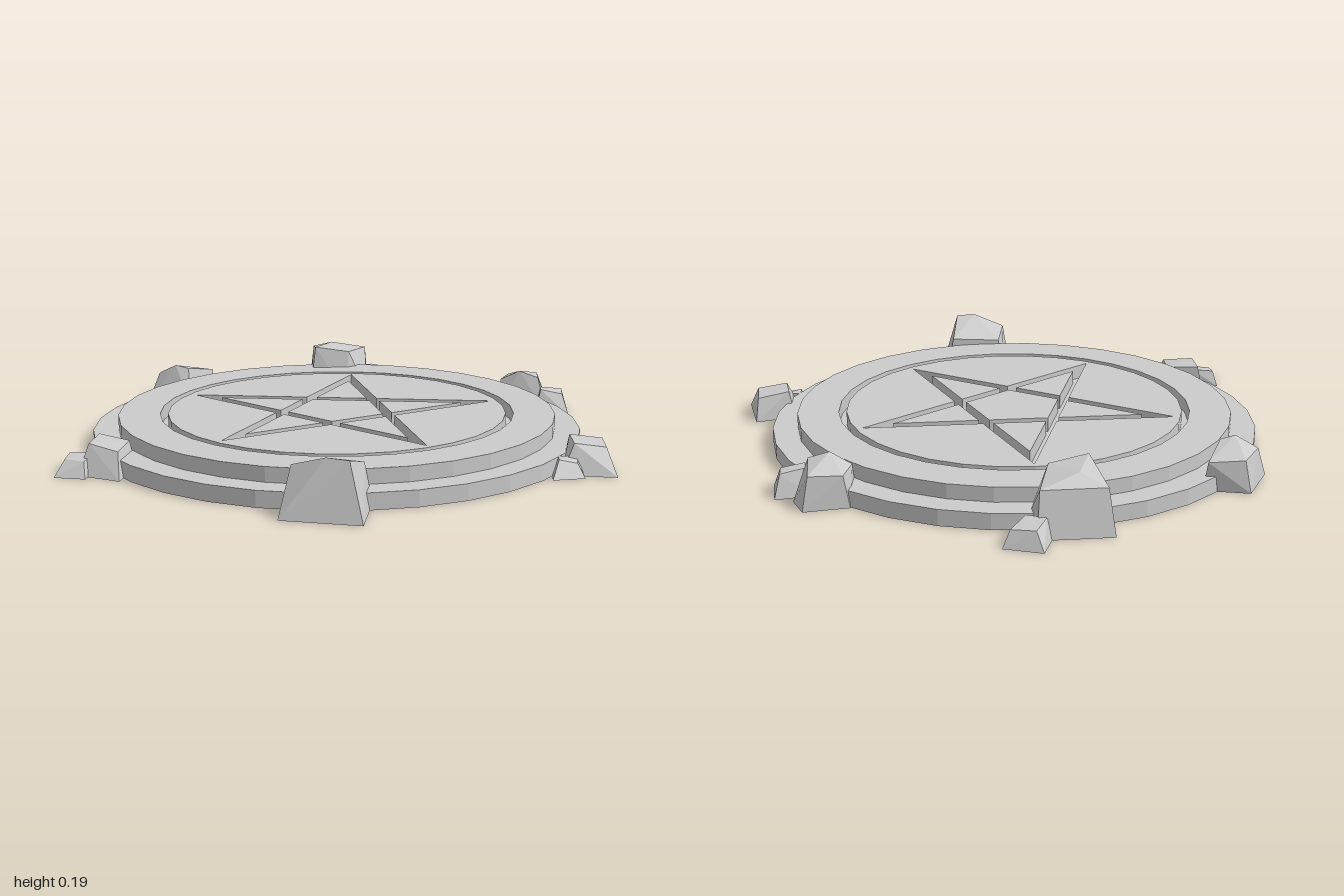
import * as THREE from 'three';
import { ConvexGeometry } from 'three/addons/geometries/ConvexGeometry.js';

const STEP = 0.055, TOP = 0.105;
const CX = -0.047, CZ = 0.016;
const material = new THREE.MeshStandardMaterial({ color: 0xcccccc, flatShading: true });

function add(parent, name, geometry) {
  const mesh = new THREE.Mesh(geometry, material);
  mesh.name = name;
  parent.add(mesh);
  return mesh;
}

// Points around the origin, first one at the top; radii alternate through the list
function ringPoints(count, radii, turn = 0) {
  return Array.from({ length: count }, (_, i) => {
    const a = Math.PI / 2 + turn + (i / count) * Math.PI * 2;
    const r = radii[i % radii.length];
    return new THREE.Vector2(Math.cos(a) * r, Math.sin(a) * r);
  });
}

// Flat slab lying between the step and the top of the dais
function slab(outline, hole) {
  const shape = new THREE.Shape(outline);
  if (hole) shape.holes.push(new THREE.Path(hole));
  const geometry = new THREE.ExtrudeGeometry(shape, { depth: TOP - STEP, bevelEnabled: false });
  return geometry.rotateX(-Math.PI / 2).translate(0, STEP, 0);
}

// Faceted boulder: ground corners [x, z] and upper corners [x, y, z]
function rock(parent, name, base, tops) {
  const points = [
    ...base.map(([x, z]) => new THREE.Vector3(x, 0, z)),
    ...tops.map(([x, y, z]) => new THREE.Vector3(x, y, z)),
  ];
  add(parent, name, new ConvexGeometry(points));
}

export function createModel() {
  const model = new THREE.Group();
  model.name = 'stoneDais';

  const dais = new THREE.Group();
  dais.name = 'dais';
  dais.position.set(CX, 0, CZ);
  model.add(dais);

  // Lower step, whose top is also the floor of the grooves
  add(dais, 'lowerStep', new THREE.CylinderGeometry(0.848, 0.848, STEP, 32).translate(0, STEP / 2, 0));

  // Upper step: rim, circular groove, panel with a star cut out
  add(dais, 'upperRim', slab(ringPoints(32, [0.761]), ringPoints(32, [0.617])));
  const starOuter = 0.566, starInner = 0.455;
  const c72 = Math.cos(Math.PI * 0.4), c36 = Math.cos(Math.PI / 5);
  add(dais, 'starPanel', slab(ringPoints(32, [0.59]), ringPoints(10, [starOuter, starOuter * c72 / c36])));

  // Islands left standing between the star grooves
  add(dais, 'starCentre', slab(ringPoints(5, [starInner * c72 / c36], Math.PI)));
  const inset = starOuter * c72;
  const half = (starInner - inset) * Math.tan(Math.PI / 10);
  for (let i = 0; i < 5; i++) {
    const tip = [[0, starInner], [-half, inset], [half, inset]].map(([x, y]) => new THREE.Vector2(x, y));
    add(dais, 'starPoint', slab(tip)).rotation.y = (i * Math.PI * 2) / 5;
  }

  // Boulders around the edge
  const rocks = new THREE.Group();
  rocks.name = 'rocks';
  model.add(rocks);

  rock(rocks, 'frontRock',
    [[-0.13, 0.965], [0.125, 0.995], [0.135, 0.77], [-0.09, 0.77]],
    [[0.08, 0.18, 0.94], [0.01, 0.185, 0.93], [-0.1, 0.148, 0.88], [0.11, 0.13, 0.77], [-0.07, 0.12, 0.77]]);
  rock(rocks, 'backRock',
    [[-0.25, -0.91], [-0.01, -0.91], [0.0, -0.74], [-0.08, -0.67], [-0.22, -0.66]],
    [[-0.2, 0.185, -0.68], [-0.07, 0.165, -0.7], [-0.02, 0.15, -0.88], [-0.23, 0.15, -0.88], [-0.15, 0.18, -0.82]]);
  rock(rocks, 'backSmallRock',
    [[-0.02, -1.0], [0.1, -0.955], [0.02, -0.84], [-0.07, -0.87]],
    [[0.0, 0.06, -0.97], [0.075, 0.055, -0.94], [0.02, 0.07, -0.87], [-0.04, 0.07, -0.9]]);
  rock(rocks, 'backRightRock',
    [[-0.74, -0.62], [-0.59, -0.58], [-0.66, -0.42], [-0.83, -0.46]],
    [[-0.72, 0.11, -0.61], [-0.6, 0.105, -0.6], [-0.67, 0.135, -0.47], [-0.72, 0.147, -0.47], [-0.79, 0.11, -0.5]]);
  rock(rocks, 'backLeftRock',
    [[0.54, -0.6], [0.69, -0.62], [0.72, -0.53], [0.7, -0.43], [0.52, -0.46]],
    [[0.56, 0.11, -0.6], [0.67, 0.115, -0.61], [0.67, 0.125, -0.47], [0.6, 0.147, -0.48], [0.53, 0.11, -0.5]]);
  rock(rocks, 'backLeftSmallRock',
    [[0.66, -0.49], [0.78, -0.51], [0.785, -0.38], [0.66, -0.39]],
    [[0.68, 0.09, -0.47], [0.76, 0.08, -0.49], [0.76, 0.075, -0.42], [0.68, 0.09, -0.42]]);
  rock(rocks, 'leftRock',
    [[0.73, 0.27], [0.87, 0.23], [0.9, 0.43], [0.72, 0.42]],
    [[0.75, 0.1, 0.27], [0.86, 0.085, 0.25], [0.865, 0.085, 0.37], [0.76, 0.098, 0.38]]);
  rock(rocks, 'leftSmallRock',
    [[0.69, 0.4], [0.79, 0.39], [0.795, 0.45], [0.69, 0.48]],
    [[0.71, 0.055, 0.38], [0.77, 0.055, 0.38], [0.77, 0.045, 0.43], [0.71, 0.055, 0.43]]);
  rock(rocks, 'rightRock',
    [[-0.82, 0.38], [-0.67, 0.44], [-0.685, 0.615], [-0.835, 0.56]],
    [[-0.8, 0.1, 0.4], [-0.69, 0.09, 0.44], [-0.7, 0.083, 0.56], [-0.805, 0.098, 0.52]]);
  rock(rocks, 'rightSmallRock',
    [[-0.895, 0.46], [-0.79, 0.49], [-0.8, 0.6], [-0.905, 0.59]],
    [[-0.88, 0.055, 0.48], [-0.8, 0.06, 0.49], [-0.81, 0.05, 0.57], [-0.88, 0.05, 0.54]]);

  return model;
}
